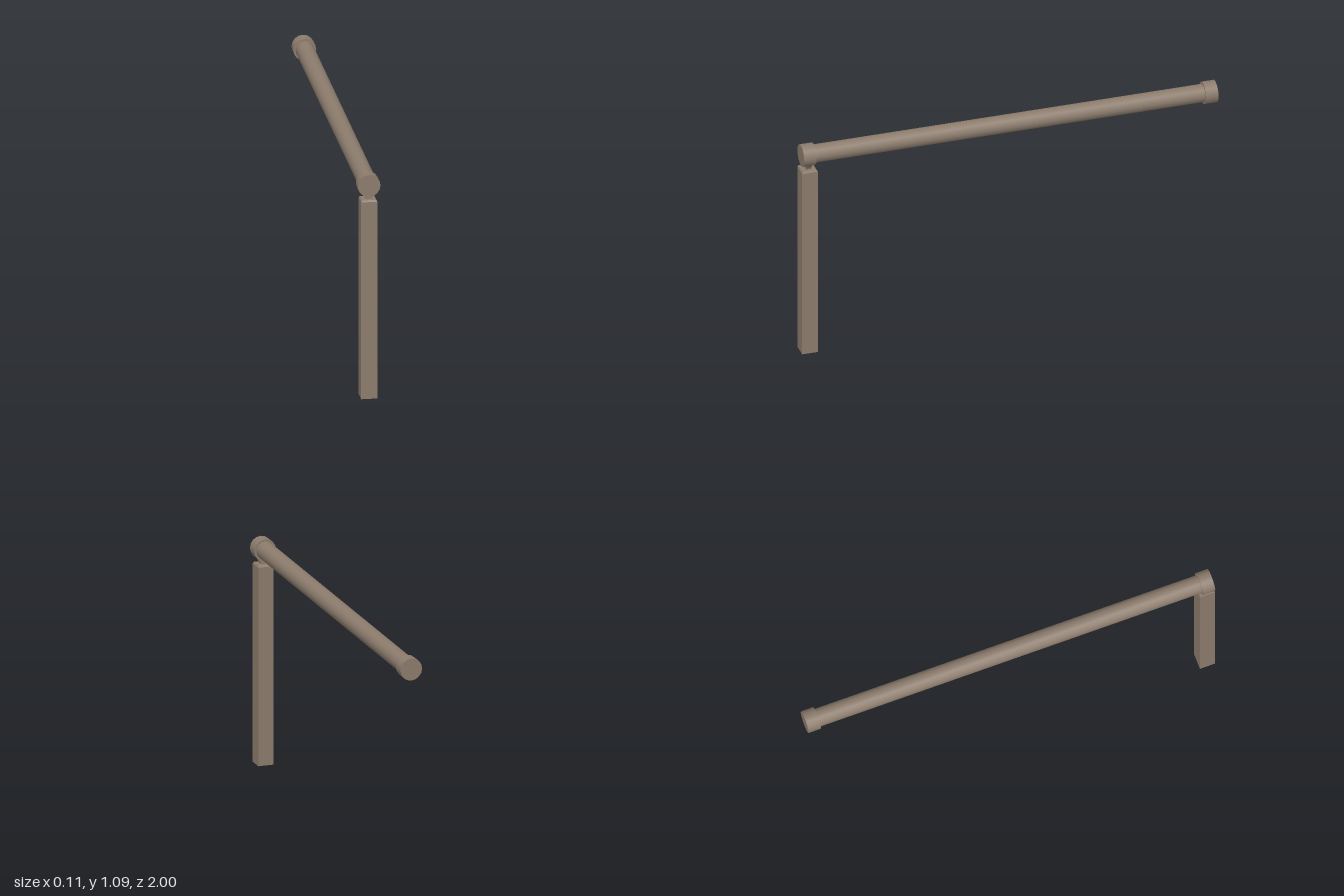
import * as THREE from 'three';

export function createModel() {
  const group = new THREE.Group();
  const brown = new THREE.MeshStandardMaterial({ color: 0x8c7c6d, side: THREE.DoubleSide });
  brown.name = 'weathered brown';
  const flatBrown = brown; // one colour for every part
  const railY = 1.034;

  const add = (name, geometry, x, y, z) => {
    const mesh = new THREE.Mesh(geometry, flatBrown);
    mesh.name = name;
    mesh.position.set(x, y, z);
    group.add(mesh);
    return mesh;
  };

  // Square hollow post, open at the foot, with a chamfered top
  const d = Math.SQRT2;
  const profile = [[0.0375, 0], [0.0375, 0.957], [0.033, 0.965], [0, 0.965]]
    .map(([r, y]) => new THREE.Vector2(r * d, y));
  const postGeometry = new THREE.LatheGeometry(profile, 4).rotateY(Math.PI / 4).toNonIndexed();
  postGeometry.computeVertexNormals();
  add('post', postGeometry, 0, 0, 0.9625);

  // Flared bracket with a small gap, joining post and rail
  const outline = new THREE.Shape();
  outline.moveTo(-0.015, 0.963);
  outline.lineTo(0.015, 0.963);
  outline.quadraticCurveTo(0.018, 0.978, 0.036, 0.996);
  outline.lineTo(-0.036, 0.996);
  outline.quadraticCurveTo(-0.018, 0.978, -0.015, 0.963);
  const gap = new THREE.Path();
  gap.moveTo(0, 0.969);
  gap.lineTo(-0.008, 0.979);
  gap.lineTo(0.008, 0.979);
  gap.closePath();
  outline.holes.push(gap);
  const bracket = new THREE.ExtrudeGeometry(outline, { depth: 0.026, bevelEnabled: false, curveSegments: 4 });
  add('railBracket', bracket, 0, 0, 0.9495);

  // Round handrail
  add('rail', new THREE.CylinderGeometry(0.043, 0.043, 1.9, 16, 1).rotateX(Math.PI / 2), 0, railY, 0);

  // End caps
  for (const [name, z, length] of [['frontCap', 0.965, 0.06], ['backCap', -0.97, 0.06]]) {
    add(name, new THREE.CylinderGeometry(0.053, 0.053, length, 16).rotateX(Math.PI / 2), 0, railY, z);
  }
  return group;
}
